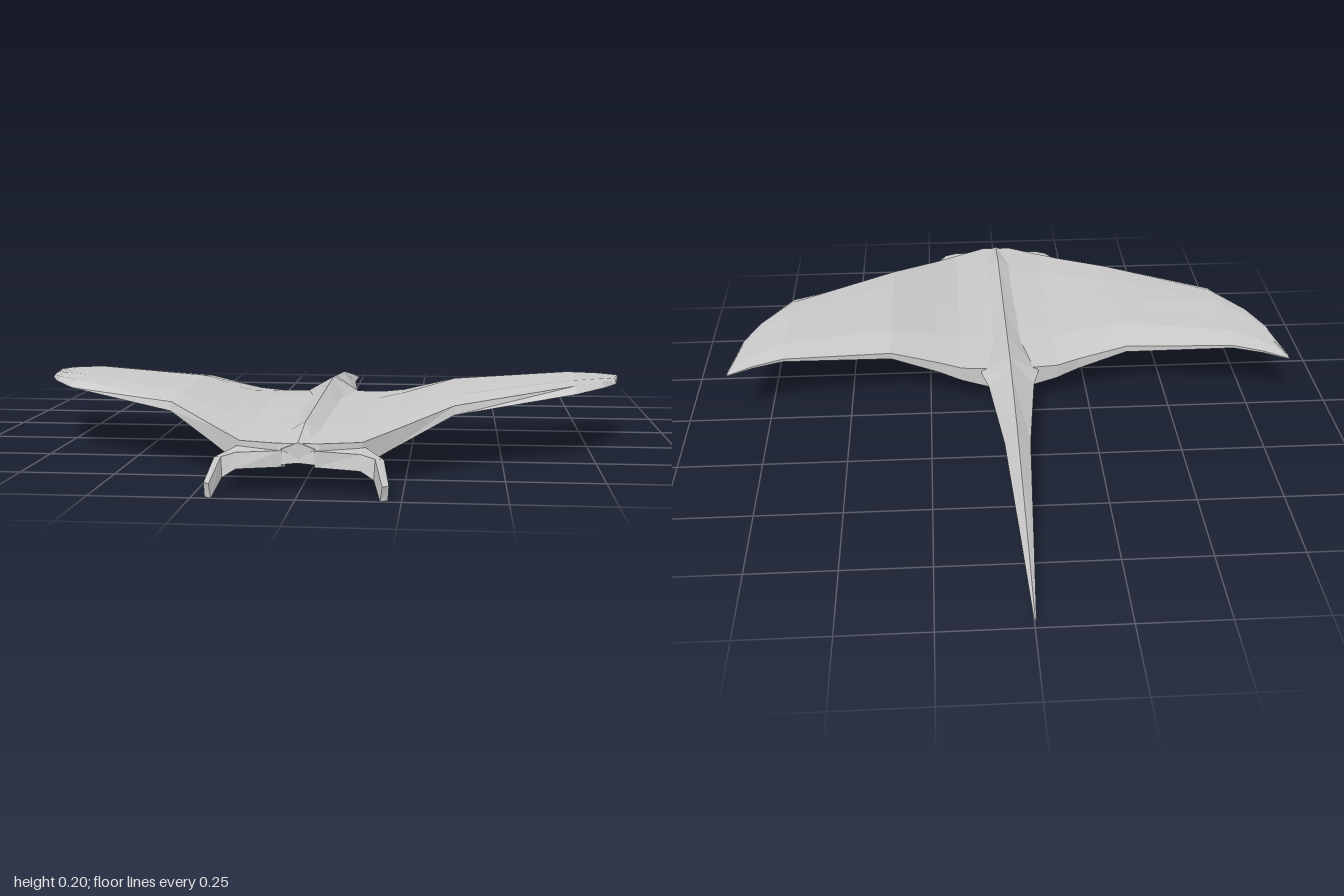
import * as THREE from 'three';

const material = new THREE.MeshStandardMaterial({ color: 0xcccccc, flatShading: true });

// Skins a list of equal-length rings of [x, y, z] points and closes both ends
function loft(name, rings) {
  const n = rings[0].length;
  const index = [];
  for (let r = 0; r < rings.length - 1; r++) {
    for (let i = 0; i < n; i++) {
      const j = (i + 1) % n;
      const a = r * n + i, b = r * n + j, c = a + n, d = b + n;
      index.push(a, c, d, a, d, b);
    }
  }
  const last = (rings.length - 1) * n;
  for (let i = 1; i < n - 1; i++) {
    index.push(0, i, i + 1);
    index.push(last, last + i + 1, last + i);
  }
  const geometry = new THREE.BufferGeometry();
  geometry.setAttribute('position', new THREE.Float32BufferAttribute(rings.flat(2), 3));
  geometry.setIndex(index);
  geometry.computeVertexNormals();
  const mesh = new THREE.Mesh(geometry, material);
  mesh.name = name;
  return mesh;
}

// Body and wings: each station is a thin profile running front to back
function createWings() {
  // x, front z, front low y, front top z, front top y, crest y, back z, back top y, back low y, belly y
  const stations = [
    [0, 0.935, 0.075, 0.93, 0.122, 0.135, 0.06, 0.13, 0.05, 0.035],
    [0.05, 0.935, 0.07, 0.93, 0.122, 0.132, 0.05, 0.125, 0.055, 0.036],
    [0.15, 0.885, 0.06, 0.88, 0.118, 0.132, 0.06, 0.125, 0.08, 0.046],
    [0.22, 0.81, 0.09, 0.805, 0.135, 0.147, 0.08, 0.135, 0.1, 0.08],
    [0.37, 0.66, 0.152, 0.65, 0.175, 0.188, 0.085, 0.172, 0.152, 0.15],
    [0.7, 0.45, 0.18, 0.4, 0.196, 0.2, 0.04, 0.189, 0.18, 0.176],
    [0.79, 0.3, 0.178, 0.275, 0.189, 0.191, 0.01, 0.183, 0.177, 0.174],
    [0.835, 0.19, 0.174, 0.175, 0.181, 0.183, -0.01, 0.177, 0.173, 0.171],
    [0.865, 0.0, 0.17, -0.002, 0.173, 0.174, -0.022, 0.173, 0.17, 0.169],
  ];
  const ring = (side, [x, zf, yf, zt, yt, crest, zb, yb, yl, belly]) => {
    const at = (t) => zb + (zt - zb) * t;
    return [
      [yf, zf], [yt, zt], [(yt + crest) / 2 + 0.003, at(0.78)], [crest, at(0.5)],
      [crest, at(0.22)], [yb, zb], [yl, zb], [belly, at(0.25)], [belly, at(0.65)],
    ].map(([y, z]) => [side * x, y, z]);
  };
  const left = stations.map((s) => ring(1, s));
  const right = stations.slice(1).reverse().map((s) => ring(-1, s));
  return loft('bodyAndWings', [...right, ...left]);
}

// Raised spine that flares at the hips and runs on into the long tail
function createSpineAndTail() {
  // z, half width, ridge y, side y, keel y
  const stations = [
    [0.935, 0.042, 0.125, 0.108, 0.085],
    [0.78, 0.045, 0.15, 0.125, 0.08],
    [0.4, 0.045, 0.158, 0.13, 0.07],
    [0.2, 0.05, 0.163, 0.128, 0.05],
    [0.045, 0.09, 0.167, 0.115, 0.04],
    [-0.03, 0.07, 0.16, 0.11, 0.045],
    [-0.33, 0.038, 0.135, 0.1, 0.064],
    [-0.75, 0.016, 0.07, 0.057, 0.043],
    [-1, 0.003, 0.028, 0.026, 0.023],
  ];
  return loft('spineAndTail', stations.map(([z, w, top, side, keel]) => [
    [0, top, z], [-w, side, z], [0, keel, z], [w, side, z],
  ]));
}

// Curled head fin reaching out, forward and down
function createHeadFin(side) {
  // Corners of each section: front low, front top, back top, back low
  const sections = [
    [[0.04, 0.065, 0.935], [0.04, 0.105, 0.935], [0.04, 0.11, 0.86], [0.04, 0.05, 0.86]],
    [[0.15, 0.06, 0.945], [0.15, 0.1, 0.94], [0.155, 0.105, 0.87], [0.155, 0.045, 0.87]],
    [[0.182, 0.04, 0.95], [0.185, 0.09, 0.945], [0.205, 0.085, 0.925], [0.205, 0.03, 0.915]],
    [[0.2, 0.0, 1.0], [0.205, 0.035, 1.0], [0.22, 0.035, 0.985], [0.218, 0.0, 0.985]],
  ];
  const rings = sections.map((s) => s.map(([x, y, z]) => [side * x, y, z]));
  if (side < 0) rings.reverse();
  return loft(side > 0 ? 'leftHeadFin' : 'rightHeadFin', rings);
}

export function createModel() {
  const model = new THREE.Group();
  model.name = 'ray';
  model.add(createWings(), createSpineAndTail(), createHeadFin(1), createHeadFin(-1));
  return model;
}
